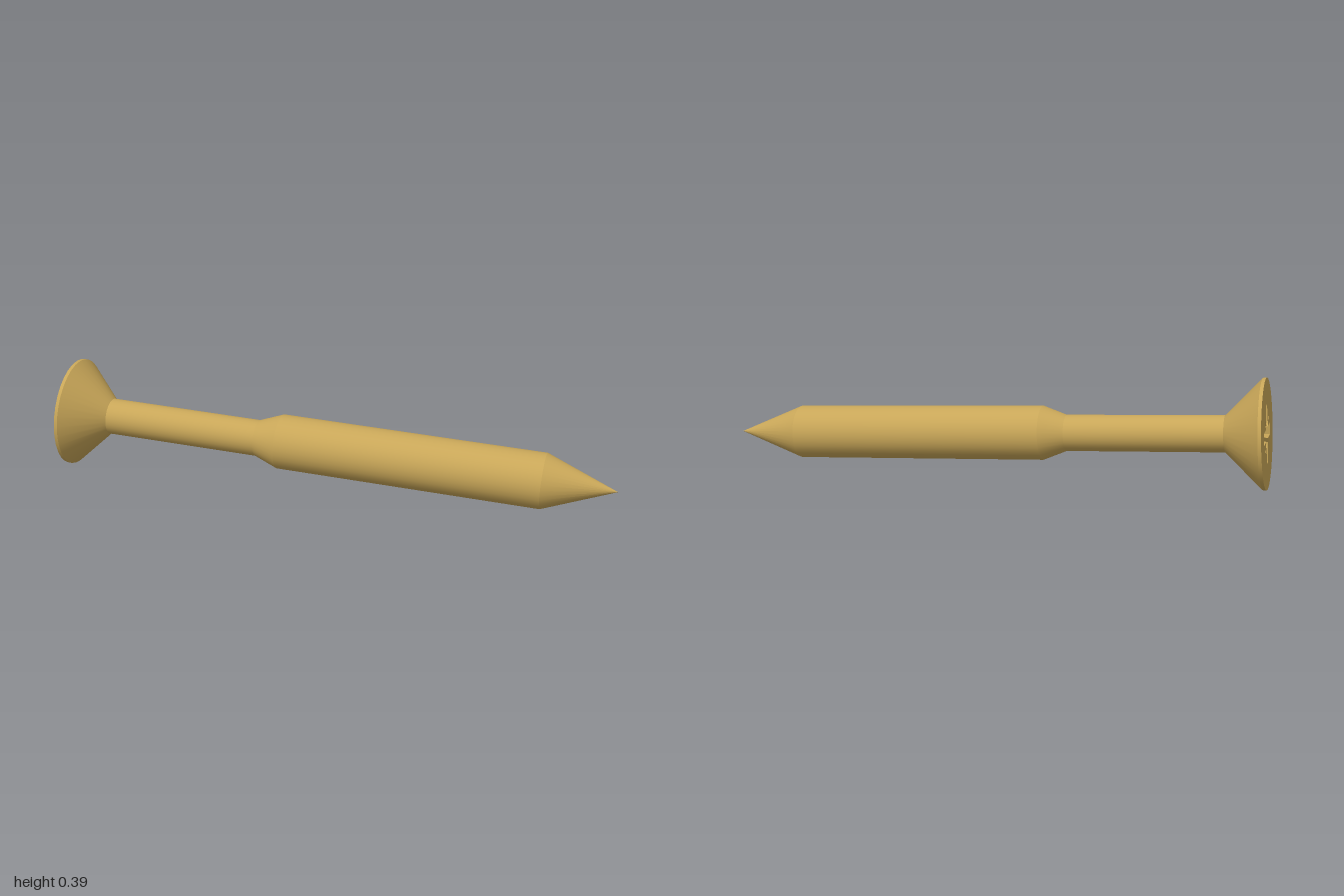
import * as THREE from 'three';

const SIDES = 32;

export function createModel() {
  const brass = new THREE.MeshStandardMaterial({ color: 0xc8a658 });
  brass.name = 'brass';
  const screw = new THREE.Group();
  screw.name = 'screw';

  const add = (name, geometry) => {
    const mesh = new THREE.Mesh(geometry, brass);
    mesh.name = name;
    screw.add(mesh);
  };

  // Turned sections along local +y, from the head face to the tip
  const section = (name, y0, r0, y1, r1) => {
    const g = new THREE.CylinderGeometry(r1, r0, y1 - y0, SIDES, 1, true);
    add(name, g.translate(0, (y0 + y1) / 2, 0));
  };
  section('headRim', 0, 0.196, 0.012, 0.196);
  section('headCone', 0.012, 0.196, 0.143, 0.0655);
  section('shank', 0.143, 0.0655, 0.713, 0.0655);
  section('shoulder', 0.713, 0.0655, 0.8, 0.0985);
  section('body', 0.8, 0.0985, 1.751, 0.0985);
  section('tip', 1.751, 0.0985, 2.005, 0);

  // Cross recess outline: four square arms with a thin spike between each pair
  const w = 0.021, arm = 0.103, spike = 0.064;
  const outline = [];
  for (let k = 0; k < 4; k++) {
    for (const [u, v] of [[arm, -w], [arm, w], [w + 0.012, w], [spike, spike], [w, w + 0.012]]) {
      outline.push(new THREE.Vector2(u, v).rotateAround(new THREE.Vector2(), k * Math.PI / 2));
    }
  }
  const depth = 0.09;
  const floor = outline.map(p => p.clone().multiplyScalar(0.5));

  // Head face with the recess cut out
  const disc = new THREE.Shape();
  disc.absarc(0, 0, 0.196, 0, Math.PI * 2, false);
  disc.holes.push(new THREE.Path(outline));
  add('headFace', new THREE.ShapeGeometry(disc, SIDES).rotateX(Math.PI / 2));

  // Tapered recess walls and floor
  const walls = [];
  outline.forEach((p, i) => {
    const j = (i + 1) % outline.length;
    const a = [p.x, 0, p.y], b = [outline[j].x, 0, outline[j].y];
    const c = [floor[i].x, depth, floor[i].y], d = [floor[j].x, depth, floor[j].y];
    walls.push(...a, ...b, ...c, ...b, ...d, ...c);
  });
  const wallGeometry = new THREE.BufferGeometry();
  wallGeometry.setAttribute('position', new THREE.Float32BufferAttribute(walls, 3));
  wallGeometry.computeVertexNormals();
  add('recessWalls', wallGeometry);
  add('recessFloor', new THREE.ShapeGeometry(new THREE.Shape(floor)).rotateX(Math.PI / 2).translate(0, depth, 0));

  // Lay the screw down along its slanted axis
  const head = new THREE.Vector3(-0.958, 0.2, -0.136);
  const axis = new THREE.Vector3(1, 0.088, 0.281).sub(head).normalize();
  const side = new THREE.Vector3(0, 1, 0).addScaledVector(axis, -axis.y).normalize();
  const third = new THREE.Vector3().crossVectors(side, axis);
  screw.quaternion.setFromRotationMatrix(new THREE.Matrix4().makeBasis(side, axis, third));
  screw.position.copy(head);

  const model = new THREE.Group();
  model.name = 'model';
  model.add(screw);
  return model;
}
